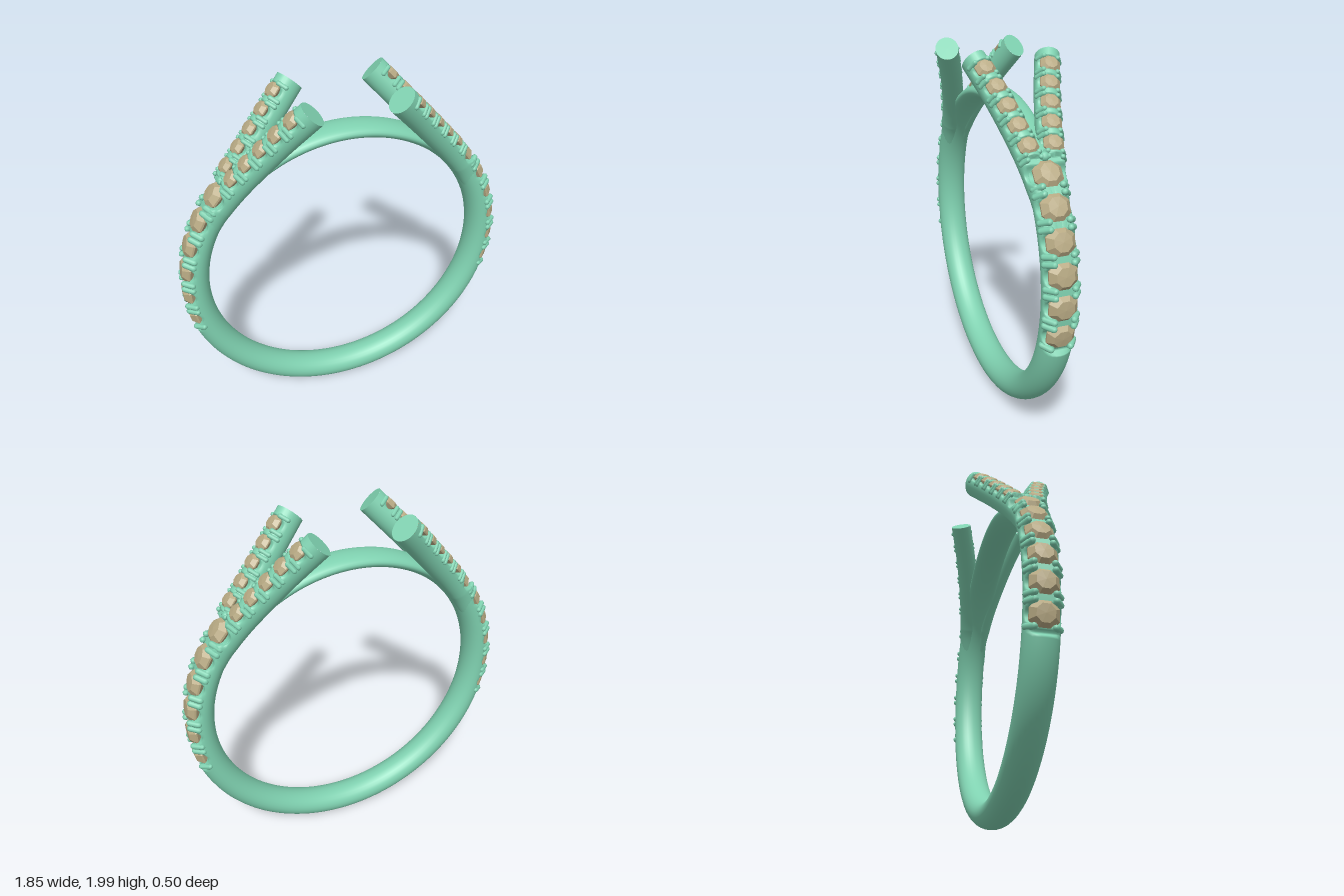
import * as THREE from 'three';

const metal = new THREE.MeshStandardMaterial({ color: 0x7fd1b0 });
const stone = new THREE.MeshStandardMaterial({ color: 0xb8aa84, flatShading: true });
const CY = 0.93, INNER = 0.77, MID = 0.846, RAD = Math.PI / 180;
const V = (x, y, z) => new THREE.Vector3(x, y, z);

// Stone angles on the shank, measured up from the horizontal
const stoneAngles = [-10.5, -0.5, 9.5, 19.5, 29.5, 39.7];
const CHANNEL_START = -15.7, CHANNEL_END = 45;

// Skin a grid of points: i runs along the path, j around the section
function loft(n, m, closed, point) {
  const pos = [], idx = [];
  const rows = closed ? n : n + 1;
  for (let i = 0; i < rows; i++)
    for (let j = 0; j < m; j++) pos.push(...point(i / n, (j / m) * 2 * Math.PI).toArray());
  for (let i = 0; i < n; i++)
    for (let j = 0; j < m; j++) {
      const i2 = (i + 1) % rows, j2 = (j + 1) % m;
      const a = i * m + j, b = i2 * m + j, c = i2 * m + j2, d = i * m + j2;
      idx.push(a, b, c, a, c, d);
    }
  const g = new THREE.BufferGeometry();
  g.setAttribute('position', new THREE.Float32BufferAttribute(pos, 3));
  g.setIndex(idx);
  g.computeVertexNormals();
  return g;
}

// Height left after a round scallop of half-width w is cut down from the top
function scallop(top, ds, w, depth) {
  return Math.abs(ds) < w ? top - depth * Math.sqrt(1 - (ds / w) ** 2) : Infinity;
}

// Press a point inward to the scalloped stone channel of the shank
function carveShank(p) {
  const deg = Math.atan2(p.y - CY, Math.abs(p.x)) / RAD;
  if (deg < CHANNEL_START - 1 || deg > CHANNEL_END) return p;
  let limit = deg > CHANNEL_START ? 0.9 : Infinity;
  for (const a of stoneAngles)
    limit = Math.min(limit, scallop(0.92, (deg - a) * RAD * 0.9, 0.05, 0.062));
  limit = Math.min(limit, scallop(0.92, (deg - CHANNEL_START) * RAD * 0.9, 0.013, 0.03));
  const r = Math.hypot(p.x, p.y - CY);
  if (r > limit) {
    p.x *= limit / r;
    p.y = CY + (p.y - CY) * limit / r;
  }
  return p;
}

function addMesh(parent, name, geometry, material) {
  const mesh = new THREE.Mesh(geometry, material);
  mesh.name = name;
  parent.add(mesh);
  return mesh;
}

// Local frame: x across the band, y outward, z along the band
function station(parent, name, pos, T, N) {
  const g = new THREE.Group();
  g.name = name;
  const B = N.clone().cross(T);
  g.quaternion.setFromRotationMatrix(new THREE.Matrix4().makeBasis(B, N, T));
  g.position.copy(pos);
  parent.add(g);
  return g;
}

// Eight-sided cut stone with pavilion, girdle, crown and table
const stoneGeometry = new THREE.LatheGeometry(
  [[0, -0.75], [0.6, -0.4], [1, -0.05], [1, 0.08], [0.62, 0.46], [0, 0.5]].map(([x, y]) => new THREE.Vector2(x, y)), 8);

function addStone(parent, frame, size, lift) {
  const s = addMesh(station(parent, 'stoneSeat', ...frame), 'stone', stoneGeometry, stone);
  s.scale.setScalar(size);
  s.position.y = lift;
  s.rotation.y = Math.PI / 8;
}

// Rounded prongs leaning from both flanks in over the stones
function addProngs(parent, frame, w, h, radius, sides = [-1, 1]) {
  const g = station(parent, 'prongs', ...frame);
  const from = V(0.92 * w, 0.3 * h, 0), to = V(0.57 * w, 0.82 * h, 0);
  const dir = to.clone().sub(from);
  const geo = new THREE.CapsuleGeometry(radius, dir.length(), 3, 8);
  for (const sx of [-1, 1])
    for (const sz of sides) {
      const p = addMesh(g, 'prong', geo, metal);
      p.position.set(sx * (from.x + to.x) / 2, (from.y + to.y) / 2, sz * radius * 1.08);
      p.rotation.z = Math.atan2(-dir.x * sx, dir.y);
    }
}

function shankFrame(deg) {
  const c = Math.cos(deg * RAD), s = Math.sin(deg * RAD);
  return [V(MID * c, CY + MID * s, 0), V(-s, c, 0), V(c, s, 0)];
}

// Round band, thinner across the top between the arms
function makeShank() {
  return loft(600, 28, true, (u, phi) => {
    const a = u * 2 * Math.PI;
    const deg = Math.asin(Math.sin(a)) / RAD;
    const half = 0.0765 - 0.0365 * THREE.MathUtils.smoothstep(deg, 38, 62);
    const r = INNER + half + half * Math.cos(phi);
    return carveShank(V(r * Math.cos(a), CY + r * Math.sin(a), 0.088 * Math.sin(phi)));
  });
}

// One arm of the split, swept off the shank on a tangent
function addArm(parent, side) {
  const arm = new THREE.Group();
  arm.name = side > 0 ? 'frontArm' : 'backArm';
  parent.add(arm);
  const curve = new THREE.CatmullRomCurve3([
    [0.783, 1.247, 0.022], [0.692, 1.415, 0.035], [0.6, 1.532, 0.053],
    [0.49, 1.655, 0.084], [0.36, 1.797, 0.13], [0.218, 1.949, 0.192],
  ].map(([x, y, z]) => V(x, y, z * side)));
  const length = curve.getLength(), W = 0.061, H = 0.073;
  const frame = (u) => {
    const T = curve.getTangentAt(u);
    return [curve.getPointAt(u), T, V(T.y, -T.x, 0).normalize()];
  };
  const pitch = 0.108, first = 0.088;
  const stops = [0, 1, 2, 3, 4].map((k) => length - first - k * pitch);

  addMesh(arm, 'armBody', loft(150, 26, false, (u, phi) => {
    const [p, T, N] = frame(u);
    const B = N.clone().cross(T);
    const size = 0.8 + 0.2 * Math.min(1, u * 4);
    let h = H * size * Math.cos(phi);
    for (const s of stops) h = Math.min(h, scallop(0.072, u * length - s, 0.037, 0.045));
    return carveShank(p.addScaledVector(N, h).addScaledVector(B, W * size * Math.sin(phi)));
  }), metal);

  // Flat end face
  const cap = addMesh(station(arm, 'armEnd', ...frame(1)), 'armEndFace', new THREE.CircleGeometry(1, 26), metal);
  cap.scale.set(W, H, 1);

  for (const s of stops) addStone(arm, frame(s / length), 0.053, 0.05);
  for (let k = 0; k <= 5; k++)
    addProngs(arm, frame((length - first + pitch / 2 - k * pitch) / length), W, H, 0.0125, k ? [-1, 1] : [-1]);
}

// Stones, prongs and split arms of one flank
function makeFlank(name) {
  const flank = new THREE.Group();
  flank.name = name;
  for (const a of stoneAngles) addStone(flank, shankFrame(a), 0.077, 0.037);
  stoneAngles.forEach((a, i) =>
    addProngs(flank, shankFrame(a - 5), 0.088, 0.0765, 0.0165, i ? [-1, 1] : [1]));
  for (const side of [-1, 1]) addArm(flank, side);
  const bead = addMesh(flank, 'splitBead', new THREE.SphereGeometry(0.024, 12, 8), metal);
  bead.position.set(0.637, 1.568, 0);
  return flank;
}

export function createModel() {
  const model = new THREE.Group();
  model.name = 'splitShankRing';
  addMesh(model, 'shank', makeShank(), metal);
  const left = makeFlank('leftFlank');
  const right = makeFlank('rightFlank');
  right.rotation.y = Math.PI;
  model.add(left, right);
  return model;
}
